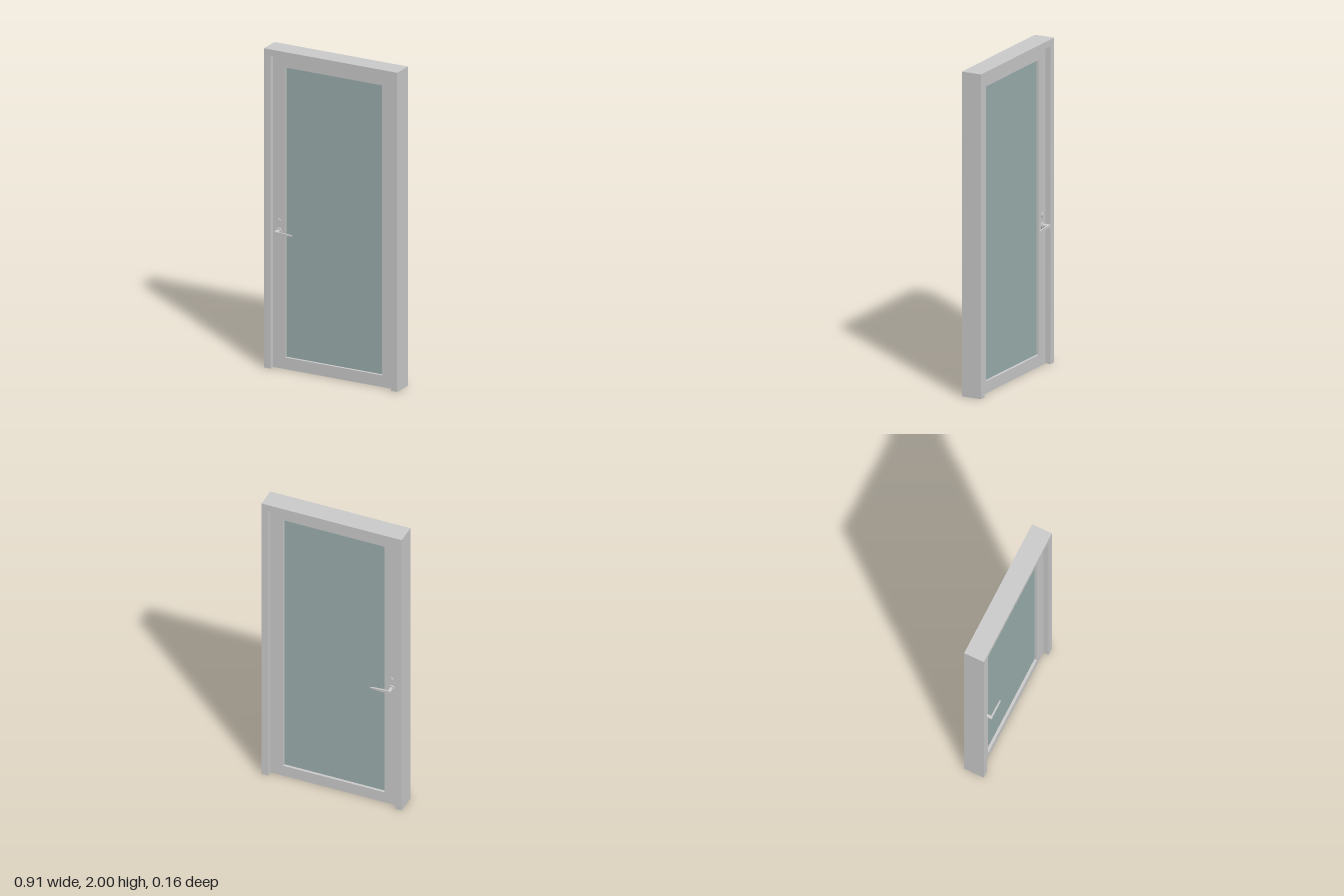
import * as THREE from 'three';

const grey = new THREE.MeshStandardMaterial({ color: 0xcccccc });
const glassMat = new THREE.MeshStandardMaterial({ color: 0x9cb0ae });

const FRAME = { x: 0.453, top: 2, z: 0.065 };
const LEAF = { x: 0.41, top: 1.958, z: 0.03 };
const PANE = { x: 0.328, bottom: 0.073, top: 1.89, z: 0.013 };

function part(name, geometry, material = grey) {
  const mesh = new THREE.Mesh(geometry, material);
  mesh.name = name;
  return mesh;
}

const polygon = (pts) => pts.map(([x, y]) => new THREE.Vector2(x, y));

// Flat outline extruded symmetrically about z = 0
function slab(shape, halfDepth) {
  const g = new THREE.ExtrudeGeometry(shape, { depth: 2 * halfDepth, bevelEnabled: false });
  return g.translate(0, 0, -halfDepth);
}

// Round disc facing z, from z0 to z1
function disc(radius, z0, z1) {
  return new THREE.CylinderGeometry(radius, radius, z1 - z0, 32)
    .rotateX(Math.PI / 2)
    .translate(0, 0, (z0 + z1) / 2);
}

// Rose, neck, tapered lever and lock for one face; lever points to dir along x
function handleSet(dir) {
  const set = new THREE.Group();
  set.add(part('rose', disc(0.021, LEAF.z - 0.002, LEAF.z + 0.008)));
  set.add(part('neck', disc(0.012, LEAF.z, 0.081)));

  const outline = new THREE.Shape(polygon([
    [0, -0.009], [0.05, -0.008], [0.095, -0.004], [0.118, -0.001],
    [0.118, 0.001], [0.095, 0.005], [0.05, 0.008], [0, 0.009],
  ].map(([x, y]) => [x * dir, y])));
  const lever = new THREE.ExtrudeGeometry(outline, { depth: 0.01, bevelEnabled: false });
  set.add(part('lever', lever.translate(0, 0, 0.0705)));

  const lock = new THREE.Group();
  lock.name = 'lock';
  lock.add(part('lockRose', disc(0.015, LEAF.z - 0.002, LEAF.z + 0.006)));
  lock.add(part('lockCylinder', disc(0.008, LEAF.z, LEAF.z + 0.008)));
  lock.position.y = 0.064;
  set.add(lock);
  return set;
}

export function createModel() {
  const door = new THREE.Group();
  door.name = 'door';

  // Frame: two jambs and a head, open at the floor
  door.add(part('frame', slab(new THREE.Shape(polygon([
    [-FRAME.x, 0], [-LEAF.x, 0], [-LEAF.x, LEAF.top], [LEAF.x, LEAF.top],
    [LEAF.x, 0], [FRAME.x, 0], [FRAME.x, FRAME.top], [-FRAME.x, FRAME.top],
  ])), FRAME.z)));

  // Leaf: recessed rails and stiles around the glazing
  const leaf = new THREE.Shape(polygon([
    [-LEAF.x, 0], [LEAF.x, 0], [LEAF.x, LEAF.top], [-LEAF.x, LEAF.top],
  ]));
  leaf.holes.push(new THREE.Path(polygon([
    [-PANE.x, PANE.bottom], [-PANE.x, PANE.top], [PANE.x, PANE.top], [PANE.x, PANE.bottom],
  ])));
  door.add(part('leaf', slab(leaf, LEAF.z)));

  const paneHeight = PANE.top - PANE.bottom;
  const pane = new THREE.BoxGeometry(2 * PANE.x, paneHeight, 2 * PANE.z);
  door.add(part('glassPane', pane.translate(0, PANE.bottom + paneHeight / 2, 0), glassMat));

  // Matching handles on both faces, levers pointing inwards
  for (const [name, dir, turn] of [['frontHandle', 1, 0], ['backHandle', -1, Math.PI]]) {
    const handle = handleSet(dir);
    handle.name = name;
    handle.position.set(-0.372, 0.859, 0);
    handle.rotation.y = turn;
    door.add(handle);
  }
  return door;
}
